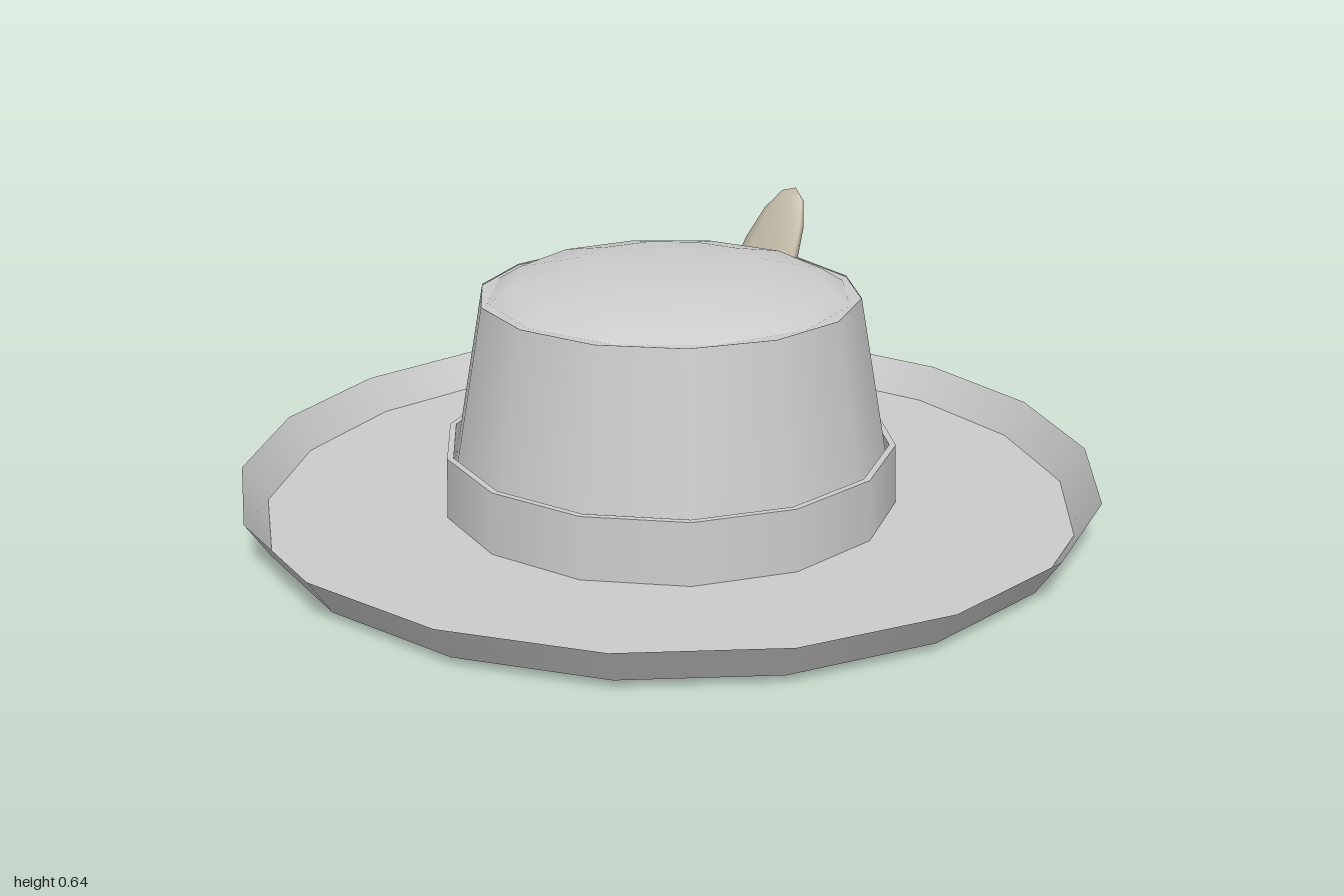
import * as THREE from 'three';

const felt = new THREE.MeshStandardMaterial({ color: 0xcccccc, side: THREE.DoubleSide });
const plume = new THREE.MeshStandardMaterial({ color: 0xc9c0ad });

export function createModel() {
  const hat = new THREE.Group();
  hat.name = 'hat';

  const add = (name, geometry, material = felt) => {
    const mesh = new THREE.Mesh(geometry, material);
    mesh.name = name;
    hat.add(mesh);
    return mesh;
  };
  // Open cone wall with a corner on the +x axis
  const wall = (name, rBottom, rTop, y0, y1, sides) => {
    const g = new THREE.CylinderGeometry(rTop, rBottom, y1 - y0, sides, 1, true, Math.PI / 2);
    add(name, g.translate(0, (y0 + y1) / 2, 0));
  };
  // Flat ring or disc facing up
  const ring = (name, rInner, rOuter, y, sides) => {
    const g = rInner > 0
      ? new THREE.RingGeometry(rInner, rOuter, sides, 1)
      : new THREE.CircleGeometry(rOuter, sides);
    add(name, g.rotateX(-Math.PI / 2).translate(0, y, 0));
  };
  const lathe = (name, points, sides) => add(name, new THREE.LatheGeometry(
    points.map(([r, y]) => new THREE.Vector2(r, y)), sides, Math.PI / 2));

  // Brim: flat floor, shallow underside and flared rim
  ring('brimFloor', 0, 0.945, 0.022, 18);
  lathe('brimUnderside', [[0, 0], [0.7, 0.002], [0.79, 0.018], [0.945, 0.02]], 18);
  wall('brimRim', 0.945, 1, 0.02, 0.105, 18);

  // Hat band
  wall('bandOuter', 0.535, 0.53, 0.022, 0.165, 14);
  ring('bandTop', 0.515, 0.53, 0.165, 14);
  wall('bandInner', 0.515, 0.515, 0.022, 0.165, 14);

  // Tapered crown with a low domed top
  wall('crownWall', 0.53, 0.44, 0.022, 0.515, 14);
  ring('crownTop', 0, 0.44, 0.512, 14);
  lathe('crownDome', [[0.42, 0.513], [0.365, 0.546], [0.22, 0.578], [0.1, 0.586], [0, 0.588]].reverse(), 12);

  // Feather: flattened ellipsoid leaning outward at the side
  const along = new THREE.Vector3(0.17, 0.525, 0.11).normalize();
  const across = new THREE.Vector3(0, 0, 1).addScaledVector(along, -along.z).normalize();
  const thick = new THREE.Vector3().crossVectors(along, across);
  const feather = add('feather', new THREE.SphereGeometry(1, 10, 8).scale(0.034, 0.276, 0.1), plume);
  feather.quaternion.setFromRotationMatrix(new THREE.Matrix4().makeBasis(thick, along, across));
  feather.position.set(0.527, 0.38, -0.225);

  return hat;
}
